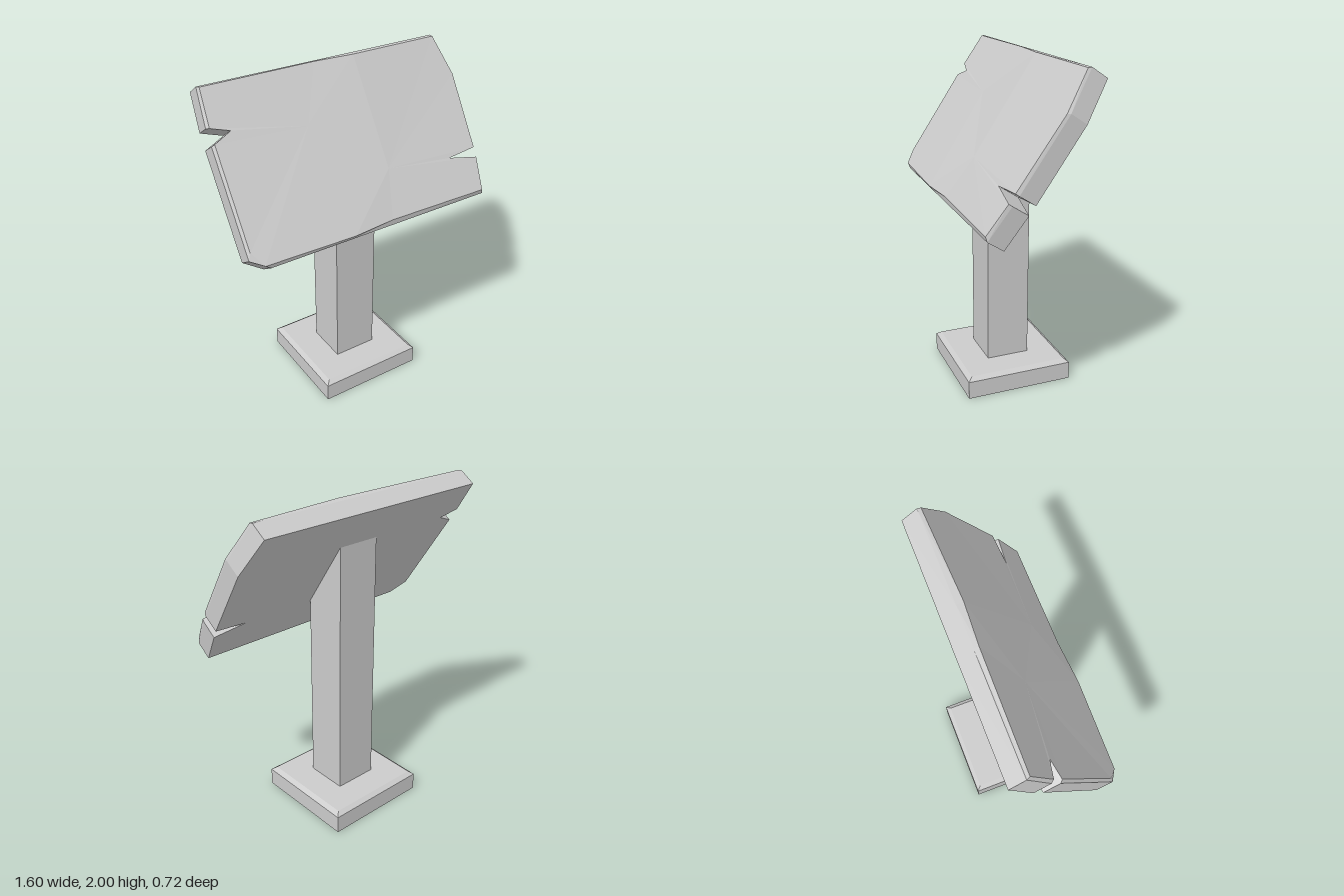
import * as THREE from 'three';

const material = new THREE.MeshStandardMaterial({ color: 0xcccccc, flatShading: true, side: THREE.DoubleSide });

// Mesh from a list of triangles, each three Vector3 corners
function facetMesh(name, triangles) {
  const geometry = new THREE.BufferGeometry().setFromPoints(triangles.flat());
  geometry.computeVertexNormals();
  const mesh = new THREE.Mesh(geometry, material);
  mesh.name = name;
  return mesh;
}

// Skin between successive closed rings of equal length (counter-clockwise seen from their far end)
function loft(rings) {
  const triangles = [];
  for (let r = 0; r < rings.length - 1; r++) {
    const a = rings[r], b = rings[r + 1];
    a.forEach((p, i) => {
      const j = (i + 1) % a.length;
      triangles.push([p, a[j], b[j]], [p, b[j], b[i]]);
    });
  }
  return triangles;
}

// Rectangle in plan; the front and back edges may lie at different heights
function rectRing(x0, x1, z0, z1, yFront, yBack = yFront) {
  return [
    new THREE.Vector3(x0, yFront, z1), new THREE.Vector3(x1, yFront, z1),
    new THREE.Vector3(x1, yBack, z0), new THREE.Vector3(x0, yBack, z0),
  ];
}

// Worn board in its own plane: x across, y up the slope, z out of the face
function createBoard() {
  // outline x, y, then worn front edge x, y, z
  const points = [
    [-0.695, 0, -0.73, 0.02, 0.13],
    [-0.18, 0, -0.18, 0.012, 0.143],
    [0.08, 0, 0.08, 0.028, 0.132],
    [0.75, 0, 0.743, 0.02, 0.13],
    [0.778, 0.22, 0.773, 0.22, 0.13], // right split
    [0.58, 0.262, 0.58, 0.262, 0.132],
    [0.785, 0.28, 0.777, 0.28, 0.13],
    [0.797, 0.75, 0.792, 0.74, 0.125],
    [0.73, 1, 0.73, 0.986, 0.125],
    [0.15, 1, 0.15, 0.98, 0.145],
    [-0.1, 1, -0.1, 0.99, 0.135],
    [-0.78, 1, -0.77, 0.99, 0.125],
    [-0.8, 0.78, -0.786, 0.775, 0.125], // left split
    [-0.68, 0.738, -0.68, 0.738, 0.128],
    [-0.8, 0.685, -0.786, 0.69, 0.125],
    [-0.8, 0.07, -0.786, 0.11, 0.125],
  ];
  const back = points.map(p => new THREE.Vector3(p[0], p[1], 0));
  const rim = points.map(p => new THREE.Vector3(p[0], p[1], 0.108));
  const front = points.map(p => new THREE.Vector3(p[2], p[3], p[4]));
  const triangles = loft([back, rim, front]);

  // flat back
  const outline = points.map(p => new THREE.Vector2(p[0], p[1]));
  for (const [a, b, c] of THREE.ShapeUtils.triangulateShape(outline, [])) {
    triangles.push([back[a], back[c], back[b]]);
  }

  // uneven face: two fans joined along the middle
  const leftHub = new THREE.Vector3(-0.25, 0.66, 0.132);
  const rightHub = new THREE.Vector3(0.15, 0.31, 0.14);
  const bottomMid = 1, topMid = 9, n = points.length;
  for (let i = 0; i < n; i++) {
    const hub = i >= bottomMid && i < topMid ? rightHub : leftHub;
    triangles.push([hub, front[i], front[(i + 1) % n]]);
  }
  triangles.push([leftHub, front[bottomMid], rightHub], [leftHub, rightHub, front[topMid]]);

  const board = facetMesh('signBoard', triangles);
  board.position.set(0, 1.105, 0.255);
  board.rotation.x = -0.59;
  return board;
}

export function createModel() {
  const model = new THREE.Group();
  model.name = 'slantedSign';
  const post = [-0.145, 0.125, -0.155, 0.108];

  // Hollow foot with a bevelled top and an opening for the post
  model.add(facetMesh('base', loft([
    rectRing(-0.34, 0.32, -0.355, 0.303, 0),
    rectRing(-0.34, 0.32, -0.355, 0.303, 0.11),
    rectRing(-0.313, 0.293, -0.328, 0.276, 0.131),
    rectRing(...post, 0.131),
  ])));

  // Square post cut off along the back of the board
  model.add(facetMesh('post', loft([
    rectRing(...post, 0.131),
    rectRing(...post, 1.325, 1.718),
  ])));

  model.add(createBoard());
  return model;
}
